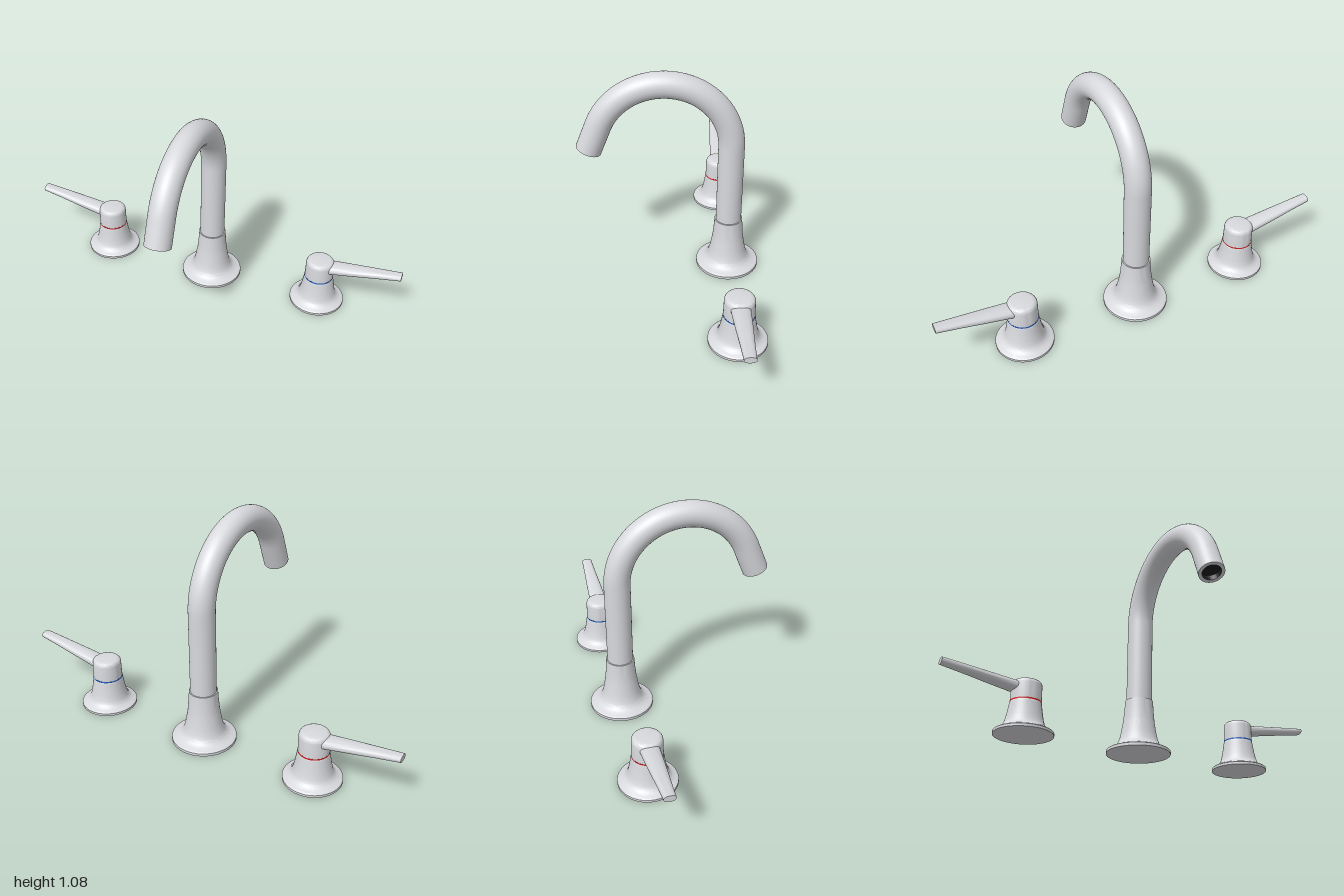
import * as THREE from 'three';
import { toCreasedNormals } from 'three/addons/utils/BufferGeometryUtils.js';

const metal = new THREE.MeshStandardMaterial({ color: 0xd8d9dd });
metal.name = 'brushedMetal';
const dark = new THREE.MeshStandardMaterial({ color: 0x1c1c1e });
dark.name = 'darkOutlet';
const blue = new THREE.MeshStandardMaterial({ color: 0x1f5cc0 });
blue.name = 'coldBlue';
const red = new THREE.MeshStandardMaterial({ color: 0xd02020 });
red.name = 'hotRed';

const BACK = -0.291; // z of the line on which all three bases stand

function mesh(name, geometry, material) {
  const m = new THREE.Mesh(geometry, material);
  m.name = name;
  return m;
}

function lathe(name, points, material) {
  const pts = points.map(([r, y]) => new THREE.Vector2(r, y));
  return mesh(name, toCreasedNormals(new THREE.LatheGeometry(pts, 48), 0.6), material);
}

// Smooth flare through a few [radius, height] points
function flare(points) {
  const curve = new THREE.SplineCurve(points.map(([r, y]) => new THREE.Vector2(r, y)));
  return curve.getPoints(24).map((p) => [p.x, p.y]);
}

// Centre line: straight riser, round bend, short straight nozzle
class SpoutCurve extends THREE.Curve {
  getPoint(t, target = new THREE.Vector3()) {
    const y0 = 0.2, cy = 0.687, cz = 0.0345, R = 0.3255, end = THREE.MathUtils.degToRad(21.5);
    const rise = cy - y0, bend = R * (Math.PI - end), nozzle = 0.137;
    const s = t * (rise + bend + nozzle);
    if (s < rise) return target.set(0, y0 + s, cz - R);
    const a = Math.PI - Math.min(s - rise, bend) / R;
    const extra = Math.max(0, s - rise - bend);
    return target.set(
      0,
      cy + R * Math.sin(a) - extra * Math.cos(end),
      cz + R * Math.cos(a) + extra * Math.sin(end)
    );
  }
}

function createSpout() {
  const g = new THREE.Group();
  g.name = 'spout';
  const base = lathe('spoutBase', [
    [0, 0], [0.157, 0], [0.157, 0.014],
    ...flare([[0.152, 0.018], [0.128, 0.027], [0.108, 0.043], [0.096, 0.068], [0.087, 0.105], [0.077, 0.165]]),
    [0.072, 0.22], [0.069, 0.27], [0.06, 0.27],
  ], metal);
  base.position.z = BACK;

  const curve = new SpoutCurve();
  const tube = mesh('spoutTube', new THREE.TubeGeometry(curve, 96, 0.063, 40), metal);

  // Open end with a rim and a recessed dark bore
  const outlet = new THREE.Group();
  outlet.name = 'outlet';
  outlet.add(lathe('outletRim', [[0.063, 0], [0.046, 0]], metal));
  outlet.add(lathe('outletBore', [[0.046, 0], [0.046, -0.03], [0, -0.03]], dark));
  outlet.position.copy(curve.getPoint(1));
  outlet.quaternion.setFromUnitVectors(new THREE.Vector3(0, 1, 0), curve.getTangent(1));
  g.add(base, tube, outlet);
  return g;
}

// Tapered lever along +x, made of rounded cross-sections
function leverGeometry() {
  const sections = [ // x, centre y, half height, half width
    [0.02, 0.219, 0.0255, 0.045], [0.07, 0.227, 0.0245, 0.044], [0.18, 0.244, 0.022, 0.039],
    [0.3, 0.263, 0.0185, 0.032], [0.41, 0.279, 0.0155, 0.027],
  ];
  const N = 32, pos = [], index = [];
  const bulge = (v) => Math.sign(v) * Math.pow(Math.abs(v), 0.8);
  for (const [x, y, h, w] of sections) {
    for (let i = 0; i < N; i++) {
      const a = (i / N) * Math.PI * 2;
      pos.push(x, y + h * bulge(Math.cos(a)), w * bulge(Math.sin(a)));
    }
  }
  for (let s = 0; s < sections.length - 1; s++) {
    for (let i = 0; i < N; i++) {
      const a = s * N + i, b = s * N + ((i + 1) % N);
      index.push(a, b, a + N, b, b + N, a + N);
    }
  }
  // Flat end faces
  const last = (sections.length - 1) * N;
  for (let i = 1; i < N - 1; i++) {
    index.push(0, i + 1, i);
    index.push(last, last + i, last + i + 1);
  }
  const geo = new THREE.BufferGeometry();
  geo.setAttribute('position', new THREE.Float32BufferAttribute(pos, 3));
  geo.setIndex(index);
  return toCreasedNormals(geo, 0.7);
}

function createHandle(name, side, ringMaterial) {
  const g = new THREE.Group();
  g.name = name;
  g.add(lathe('handleBase', [
    [0, 0], [0.139, 0], [0.139, 0.012],
    ...flare([[0.135, 0.016], [0.114, 0.025], [0.099, 0.04], [0.09, 0.063], [0.082, 0.1], [0.074, 0.15]]),
    [0.073, 0.153], [0.068, 0.153],
  ], metal));
  g.add(lathe('temperatureRing', [[0.068, 0.153], [0.073, 0.153], [0.073, 0.16], [0.068, 0.16]], ringMaterial));

  // Cap with a rounded top edge
  const cap = [[0.066, 0.16], [0.0725, 0.16], [0.071, 0.238]];
  for (let i = 1; i <= 6; i++) {
    const a = (i / 6) * Math.PI / 2;
    cap.push([0.049 + 0.022 * Math.cos(a), 0.238 + 0.022 * Math.sin(a)]);
  }
  cap.push([0, 0.26]);
  g.add(lathe('handleCap', cap, metal));
  g.add(mesh('lever', leverGeometry(), metal));

  g.position.set(side * 0.59, 0, BACK);
  if (side < 0) g.rotation.y = Math.PI;
  return g;
}

export function createModel() {
  const model = new THREE.Group();
  model.name = 'widespreadFaucet';
  model.add(
    createSpout(),
    createHandle('coldHandle', 1, blue),
    createHandle('hotHandle', -1, red)
  );
  return model;
}
